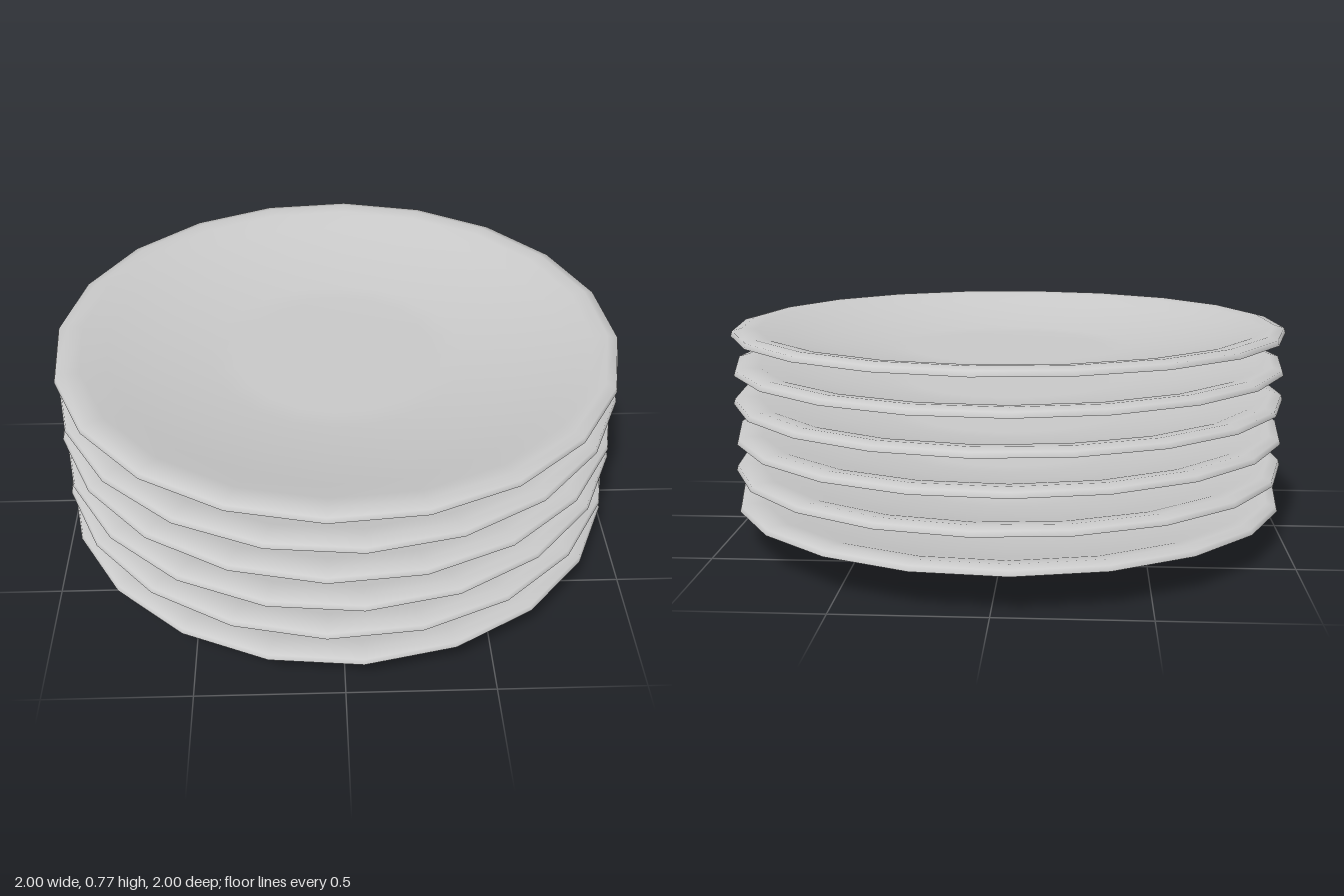
import * as THREE from 'three';

const SIDES = 20;
const COUNT = 6;
const SPACING = 0.122;

const material = new THREE.MeshStandardMaterial({ color: 0xcccccc });

// Turns a profile of [radius, height] pairs around the y axis
function turned(name, profile) {
  const points = profile.map(([r, y]) => new THREE.Vector2(r, y));
  const mesh = new THREE.Mesh(new THREE.LatheGeometry(points, SIDES), material);
  mesh.name = name;
  return mesh;
}

// Shallow pointed underside, or a dished one with a flat foot
const POINTED = [[0, 0], [1, 0.13]];
const DISHED = [[0, 0.008], [0.46, 0.008], [0.66, 0.042], [0.85, 0.088], [1, 0.13]];

function createPlate(index) {
  const plate = new THREE.Group();
  plate.name = `plate${index + 1}`;
  plate.add(turned('underside', index === 1 ? DISHED : POINTED));

  // Outer lip, rolled rim, sloping wall and flat centre
  plate.add(turned('rimAndDish', [
    [1, 0.13], [0.995, 0.148], [0.96, 0.157], [0.91, 0.152], [0.82, 0.129],
    [0.65, 0.095], [0.45, 0.067], [0.36, 0.064], [0, 0.064],
  ]));

  // Each plate sits slightly turned against its neighbours
  plate.position.y = index * SPACING;
  plate.rotation.y = index % 2 ? -0.06 : 0.06;
  return plate;
}

export function createModel() {
  const stack = new THREE.Group();
  stack.name = 'plateStack';
  for (let i = 0; i < COUNT; i++) stack.add(createPlate(i));
  return stack;
}
